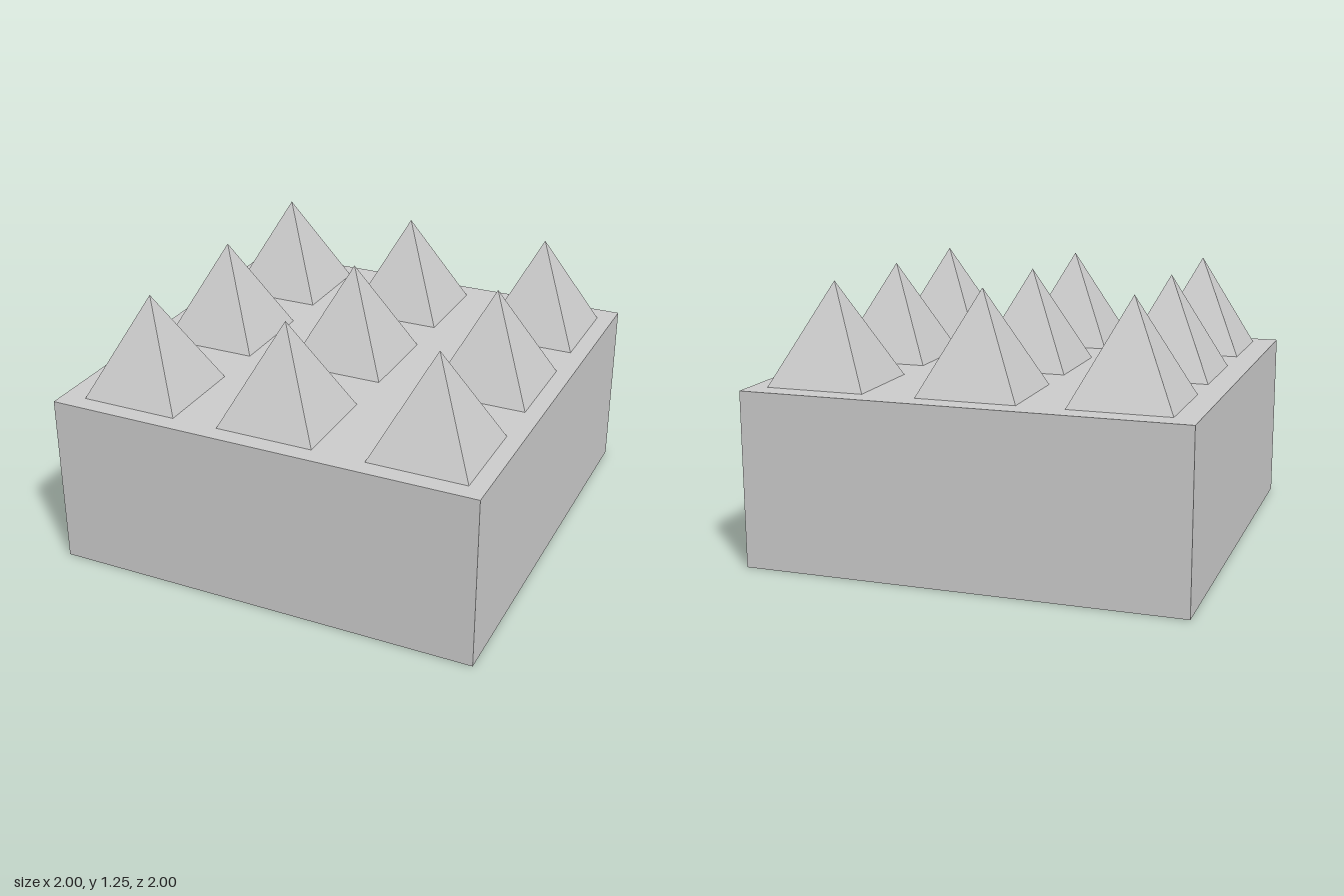
import * as THREE from 'three';

const BASE_HEIGHT = 0.8;
const SPIKE_WIDTH = 0.452;
const SPIKE_HEIGHT = 0.45;
const COLUMNS_X = [-0.665, 0, 0.695];
const ROWS_Z = [-0.67, 0, 0.69];

export function createModel() {
  const model = new THREE.Group();
  model.name = 'spikedBlock';
  const material = new THREE.MeshStandardMaterial({ color: 0xcccccc, flatShading: true });

  // Square base block
  const base = new THREE.Mesh(new THREE.BoxGeometry(2, BASE_HEIGHT, 2), material);
  base.name = 'base';
  base.position.y = BASE_HEIGHT / 2;
  model.add(base);

  // Four-sided pyramid, turned so its edges run along x and z, standing on y = 0
  const spikeGeometry = new THREE.ConeGeometry(SPIKE_WIDTH / Math.SQRT2, SPIKE_HEIGHT, 4, 1, true)
    .rotateY(Math.PI / 4)
    .translate(0, SPIKE_HEIGHT / 2, 0);

  // Three by three grid of spikes
  const spikes = new THREE.Group();
  spikes.name = 'spikes';
  for (const z of ROWS_Z) {
    for (const x of COLUMNS_X) {
      const spike = new THREE.Mesh(spikeGeometry, material);
      spike.name = 'spike';
      spike.position.set(x, BASE_HEIGHT, z);
      spikes.add(spike);
    }
  }
  model.add(spikes);

  return model;
}
